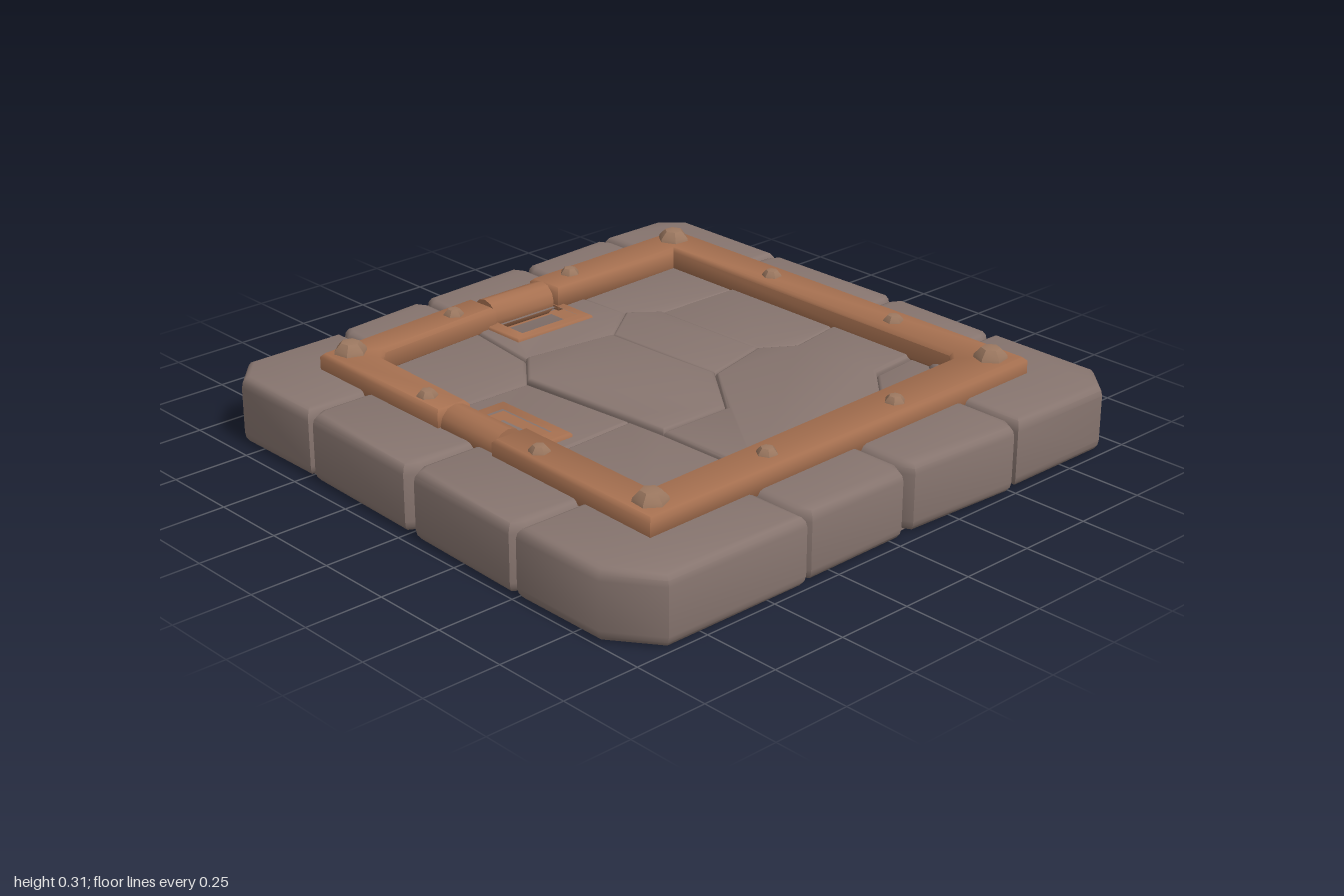
import * as THREE from 'three';
import { toCreasedNormals } from 'three/addons/utils/BufferGeometryUtils.js';

const mat = (name, color) => Object.assign(new THREE.MeshStandardMaterial({ color }), { name });

// Extrudes an [x, z] outline from y0 to y1 with rounded edges that stay inside the outline
function slab(points, y0, y1, size, thick, holes = [], segments = 3) {
  const flip = (pts) => pts.map(([x, z]) => new THREE.Vector2(x, -z));
  const shape = new THREE.Shape(flip(points));
  shape.holes = holes.map((hole) => new THREE.Path(flip(hole)));
  const geo = new THREE.ExtrudeGeometry(shape, {
    depth: y1 - y0 - 2 * thick, bevelEnabled: size > 0, bevelSize: size,
    bevelOffset: -size, bevelThickness: thick, bevelSegments: segments,
  });
  geo.rotateX(-Math.PI / 2).translate(0, y0 + thick, 0);
  return toCreasedNormals(geo, 0.85);
}

const rect = (x0, z0, x1, z1) => [[x0, z0], [x1, z0], [x1, z1], [x0, z1]];

// Corner stone: signs, outer reach, inner ends along each side, and cut-off corner
const corner = (sx, sz, outX, outZ, inX, inZ, cutX, cutZ) =>
  [[inX, 0.68], [inX, outZ], [outX - cutX, outZ], [outX, outZ - cutZ], [outX, inZ], [0.68, inZ]]
    .map(([x, z]) => [sx * x, sz * z]);

// Edge stone from u0 to u1 along one side, reaching out to w0 and w1 at its ends
const edge = (place, u0, u1, w0, w1) =>
  [[u0, 0.68], [u1, 0.68], [u1, w1 - 0.045], [u1 - 0.025, w1], [u0 + 0.025, w0], [u0, w0 - 0.045]]
    .map(([u, w]) => place(u, w));
const back = (u, w) => [u, -w];
const right = (u, w) => [w, u];
const front = (u, w) => [u, w];
const left = (u, w) => [-w, u];

function edgeOutlines() {
  return [
    corner(-1, -1, 0.95, 0.925, 0.51, 0.485, 0.09, 0.1),
    corner(1, -1, 1, 1, 0.675, 0.49, 0.08, 0.07),
    corner(1, 1, 1, 0.98, 0.52, 0.485, 0.09, 0.1),
    corner(-1, 1, 0.99, 0.99, 0.37, 0.51, 0.11, 0.15),
    edge(back, -0.505, -0.152, 0.94, 0.965),
    edge(back, -0.148, 0.28, 0.97, 0.99),
    edge(back, 0.285, 0.67, 0.975, 0.995),
    edge(right, -0.485, 0.06, 0.995, 1),
    edge(right, 0.065, 0.48, 1, 0.995),
    edge(front, -0.365, 0.055, 0.98, 0.975),
    edge(front, 0.06, 0.515, 0.97, 0.99),
    edge(left, -0.48, 0.02, 0.955, 0.97),
    edge(left, 0.025, 0.505, 0.975, 0.99),
  ];
}

export function createModel() {
  const model = new THREE.Group();
  const stone = mat('stone', 0x87756f);
  const metal = mat('brown metal', 0xa67050);
  const boltMetal = mat('bolt metal', 0x9c7860);
  const dark = mat('dark pit', 0x2c2d21);
  const add = (name, geo, material) => {
    const mesh = new THREE.Mesh(geo, material);
    mesh.name = name;
    model.add(mesh);
    return mesh;
  };

  // Flat underside and the ring of edge stones
  add('base', slab([[-0.92, -0.8], [-0.84, -0.88], [0.9, -0.95], [0.95, -0.9], [0.95, 0.86], [0.88, 0.93],
    [-0.85, 0.94], [-0.94, 0.82]], 0, 0.08, 0, 0), stone);
  edgeOutlines().forEach((pts) => add('edgeStone', slab(pts, 0.001, 0.217, 0.025, 0.035), stone));

  // Bed beneath the paving, open at the two hand pits
  const backPit = rect(-0.1, -0.66, 0.14, -0.52);
  const leftPit = rect(-0.64, -0.12, -0.51, 0.11);
  add('pavingBed', slab(rect(-0.7, -0.7, 0.72, 0.7), 0.08, 0.175, 0, 0, [backPit, leftPit]), [metal, dark]);

  // Irregular paving: neighbouring stones share these corners
  const a = [-0.21, -0.37], b = [-0.32, -0.235], c = [-0.68, -0.24], d = [0.11, -0.33], e = [0.275, -0.45];
  const f = [0.365, -0.375], g = [0.72, -0.37], h = [0.375, 0.05], i = [0.135, 0.11], j = [-0.02, 0.315];
  const k = [-0.27, 0.315], l = [-0.28, 0.18], m = [-0.68, 0.2], n = [0.72, 0.08], o = [0.48, 0.12];
  const p = [0.12, -0.12], q = [0.51, 0.43], r = [0.33, 0.62], s = [0.72, 0.41], t = [0.31, 0.68];
  const u = [-0.26, 0.68], v = [-0.17, -0.69], w = [0.26, -0.69];
  const pave = (top, pts, holes) => add('pavingStone', slab(pts, 0.15, top, 0.012, 0.016, holes), stone);
  pave(0.2, [[-0.68, -0.69], v, a, b, c]);
  pave(0.205, [v, w, e, d, a], [rect(-0.12, -0.65, 0.16, -0.505)]);
  pave(0.2, [w, [0.72, -0.69], g, f, e]);
  pave(0.215, [a, d, p, i, j, k, l, b]);
  pave(0.2, [c, b, l, m], [rect(-0.64, -0.14, -0.49, 0.13)]);
  pave(0.21, [d, e, f, h, i, p]);
  pave(0.205, [f, g, n, o, h]);
  pave(0.2, [m, l, k, u, [-0.68, 0.68]]);
  pave(0.21, [k, j, i, h, o, n, s, q, r, t, u]);
  pave(0.195, [q, s, [0.72, 0.68], t, r]);

  // Dark pit floors and their raised rims
  const rim = (outline, pit) => slab(outline, 0.15, 0.214, 0.005, 0.005, [pit], 1);
  add('backPitFloor', slab(backPit, 0.08, 0.088, 0, 0), dark);
  add('leftPitFloor', slab(leftPit, 0.08, 0.088, 0, 0), dark);
  add('backPitRim', rim(rect(-0.14, -0.69, 0.17, -0.49), backPit), metal);
  add('leftPitRim', rim(rect(-0.68, -0.16, -0.475, 0.15), leftPit), metal);

  // Frame in two pieces, broken where the handles sit
  const addFrame = (pts) => add('frame', slab(pts, 0.19, 0.27, 0.012, 0.012, [], 1), metal);
  addFrame([[-0.745, -0.13], [-0.735, -0.715], [-0.11, -0.76], [-0.105, -0.64], [-0.57, -0.605],
    [-0.61, -0.56], [-0.625, -0.13]]);
  addFrame([[0.14, -0.765], [0.81, -0.785], [0.815, 0.765], [-0.77, 0.8], [-0.75, 0.12], [-0.62, 0.12],
    [-0.63, 0.65], [0.64, 0.61], [0.67, 0.58], [0.67, -0.645], [0.14, -0.625]]);

  // Round handles bridging the frame gaps
  const handle = () => toCreasedNormals(new THREE.CylinderGeometry(0.056, 0.056, 0.24, 12), 0.7);
  add('backHandle', handle().rotateZ(Math.PI / 2).translate(0.018, 0.222, -0.7), metal);
  add('leftHandle', handle().rotateX(Math.PI / 2).translate(-0.683, 0.222, -0.005), metal);

  // Domed six-sided bolts: large at the corners, small along the bars
  const addBolt = (x, z, radius, top, turn) => {
    const height = top - 0.262;
    const dome = [[radius, 0], [radius * 0.93, height * 0.4], [radius * 0.55, height * 0.88], [0, height]]
      .map(([px, py]) => new THREE.Vector2(px, py));
    const mesh = add('bolt', toCreasedNormals(new THREE.LatheGeometry(dome, 6), 0.6), boltMetal);
    mesh.position.set(x, 0.262, z);
    mesh.rotation.y = turn;
  };
  [[-0.66, -0.66], [0.735, -0.715], [0.73, 0.69], [-0.69, 0.715]]
    .forEach(([x, z], index) => addBolt(x, z, 0.054, 0.308, 0.2 + index * 0.25));
  [[-0.24, -0.685], [0.265, -0.71], [0.735, -0.245], [0.735, 0.29], [0.275, 0.715], [-0.25, 0.715],
    [-0.705, 0.275], [-0.695, -0.24]]
    .forEach(([x, z], index) => addBolt(x, z, 0.034, 0.293, index * 0.3));

  return model;
}
